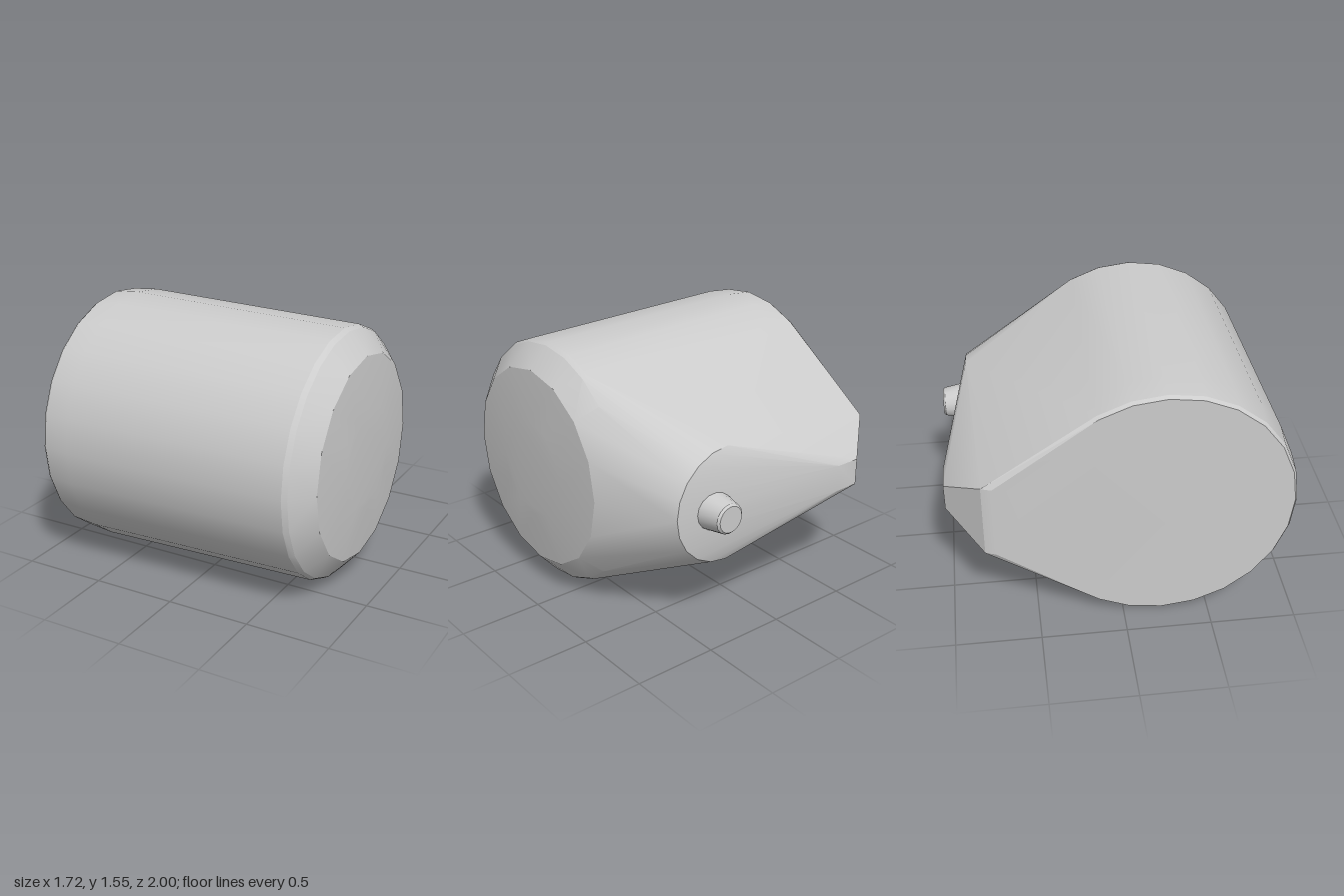
import * as THREE from 'three';
import { ConvexGeometry } from 'three/addons/geometries/ConvexGeometry.js';
import { toCreasedNormals } from 'three/addons/utils/BufferGeometryUtils.js';

const MID_Y = 0.78;   // height of the symmetry plane
const AXIS_Z = 0.225; // main drum axis

export function createModel() {
  const group = new THREE.Group();
  const material = new THREE.MeshStandardMaterial({ color: 0xcccccc });
  const points = [];

  // Drum cross-sections along x: [x, radius, segments]
  const rings = [
    [-0.86, 0.745, 24], [-0.84, 0.76, 24], [-0.68, 0.775, 24],
    [0.69, 0.745, 24], [0.72, 0.73, 24], [0.83, 0.605, 16], [0.857, 0.3, 12],
  ];
  for (const [x, r, n] of rings) {
    for (let i = 0; i < n; i++) {
      const a = (i / n) * Math.PI * 2;
      points.push(new THREE.Vector3(x, MID_Y + r * Math.sin(a), AXIS_Z + r * Math.cos(a)));
    }
  }

  // Rounded rear end behind the peg
  for (let i = 0; i < 20; i++) {
    const a = (i / 20) * Math.PI * 2;
    points.push(new THREE.Vector3(0.26 + 0.35 * Math.cos(a), MID_Y + 0.35 * Math.sin(a), -0.835));
  }

  // Rear ridge and bevelled corner, mirrored above and below: [x, half height, z]
  for (const s of [-1, 1]) {
    for (const [x, h, z] of [[-0.86, 0.23, -0.73], [-0.84, 0.23, -0.79], [-0.6, 0.08, -1], [-0.45, 0.08, -1]]) {
      points.push(new THREE.Vector3(x, MID_Y + s * h, z));
    }
  }

  const body = new THREE.Mesh(toCreasedNormals(new ConvexGeometry(points), 0.35), material);
  body.name = 'body';
  group.add(body);

  // Tapered peg with a bevelled tip, pointing backwards
  const profile = [[0, 0], [0.125, 0], [0.09, 0.185], [0.078, 0.197], [0, 0.197]]
    .map(([r, h]) => new THREE.Vector2(r, h));
  const peg = new THREE.Mesh(toCreasedNormals(new THREE.LatheGeometry(profile, 16), 0.5), material);
  peg.name = 'peg';
  peg.rotation.x = -Math.PI / 2;
  peg.position.set(0.37, MID_Y, -0.8);
  group.add(peg);

  return group;
}
